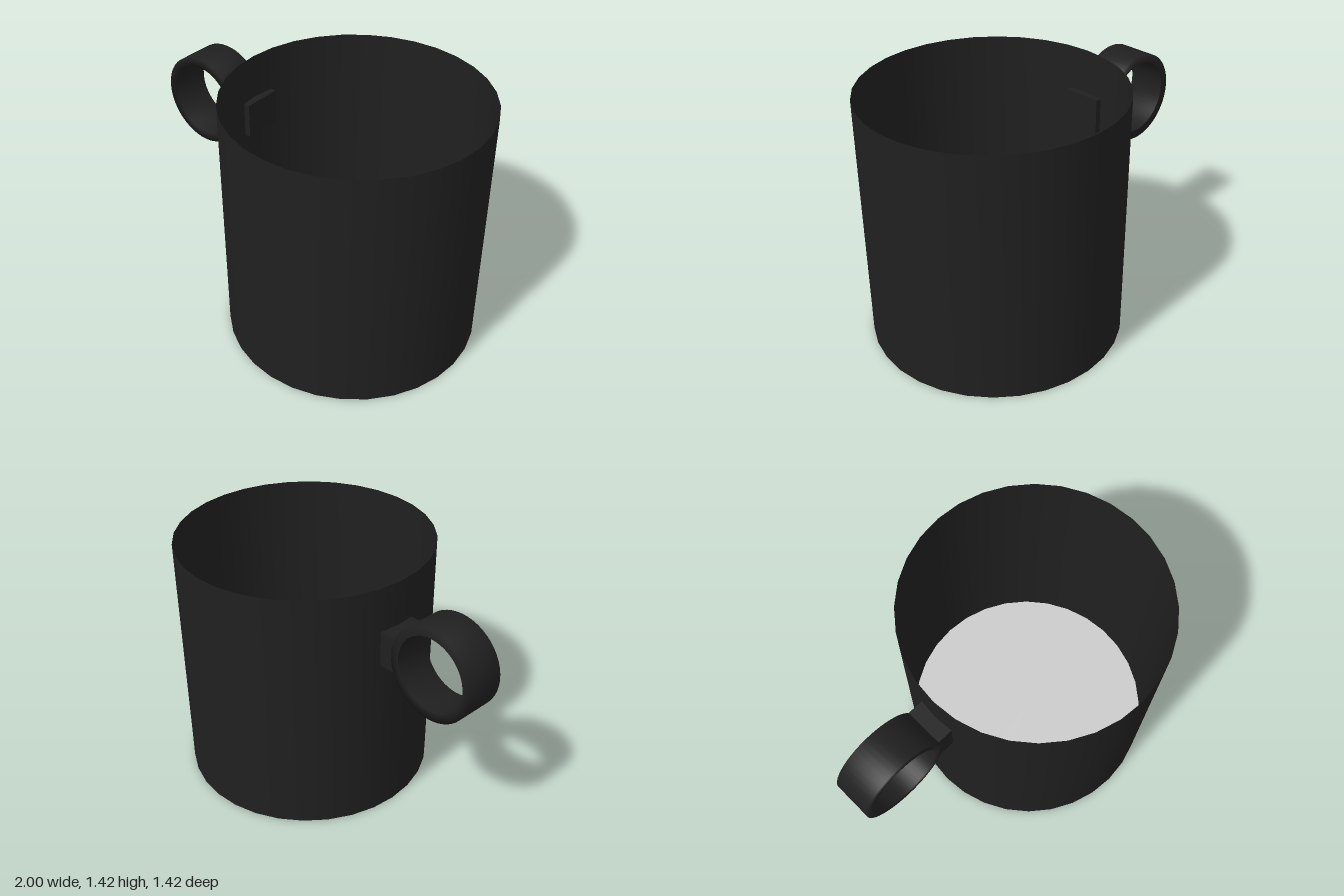
import * as THREE from 'three';

export function createModel() {
  const model = new THREE.Group();
  const black = new THREE.MeshStandardMaterial({ color: 0x202020, side: THREE.DoubleSide });
  const grey = new THREE.MeshStandardMaterial({ color: 0xcccccc, side: THREE.DoubleSide });
  const radius = 0.71, height = 1.42, cupX = 0.29;

  function add(name, geometry, material, x, y, z) {
    const mesh = new THREE.Mesh(geometry, material);
    mesh.name = name;
    mesh.position.set(x, y, z);
    model.add(mesh);
    return mesh;
  }

  // Thin open wall of the cup
  add('cupWall', new THREE.CylinderGeometry(radius, radius, height, 32, 1, true), black, cupX, height / 2, 0);

  // Flat floor, turned so its corners meet the wall
  add('cupFloor', new THREE.CircleGeometry(radius, 32).rotateX(Math.PI / 2), grey, cupX, 0, 0);

  // Handle: a wide flat ring, its axis running front to back
  const inner = 0.21, outer = 0.26, half = 0.11;
  const profile = [[inner, -half], [outer, -half], [outer, half], [inner, half], [inner, -half]]
    .map(([r, y]) => new THREE.Vector2(r, y));
  add('handleRing', new THREE.LatheGeometry(profile, 48).rotateX(Math.PI / 2), black, -0.74, 1.07, -0.01);

  // Short block joining the ring to the wall, poking slightly through it
  add('handleStub', new THREE.BoxGeometry(0.135, 0.2, 2 * half), black, -0.4425, 1.07, -0.01);

  return model;
}
